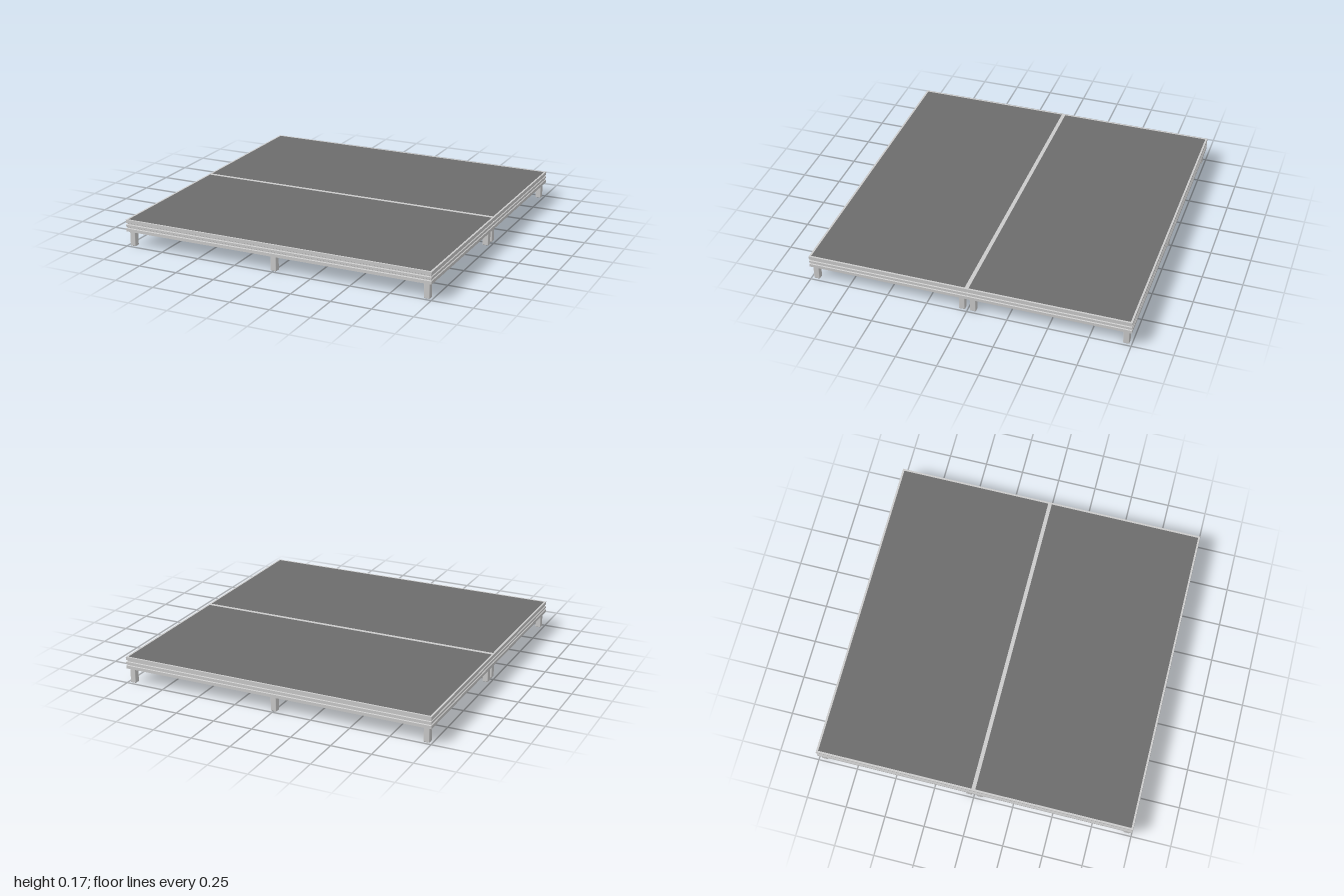
import * as THREE from 'three';
import { RoundedBoxGeometry } from 'three/addons/geometries/RoundedBoxGeometry.js';

const HALF_X = 1, HALF_Z = 0.5;

// Rail cross-section [inset, height]: up the grooved outside, over the lip, down the inside
const RAIL = [
  [0, 0.095], [0, 0.114], [0.006, 0.117], [0.006, 0.123], [0, 0.126],
  [0, 0.138], [0.006, 0.141], [0.006, 0.147], [0, 0.15], [0, 0.17],
  [0.012, 0.17], [0.012, 0.15], [0.015, 0.15], [0.015, 0.095],
];

// Sweeps the rail section around a rectangle with mitred corners
function frameGeometry() {
  const corners = [[1, 1], [1, -1], [-1, -1], [-1, 1]];
  const point = (i, k) => {
    const [inset, y] = RAIL[i % RAIL.length];
    const [sx, sz] = corners[k % 4];
    return [sx * (HALF_X - inset), y, sz * (HALF_Z - inset)];
  };
  const positions = [];
  for (let k = 0; k < 4; k++) {
    for (let i = 0; i < RAIL.length; i++) {
      const a = point(i, k), b = point(i, k + 1), c = point(i + 1, k + 1), d = point(i + 1, k);
      positions.push(...a, ...b, ...c, ...a, ...c, ...d);
    }
  }
  const geometry = new THREE.BufferGeometry();
  geometry.setAttribute('position', new THREE.Float32BufferAttribute(positions, 3));
  geometry.computeVertexNormals();
  return geometry;
}

export function createModel() {
  const model = new THREE.Group();
  model.name = 'stagePlatform';
  const metal = new THREE.MeshStandardMaterial({ color: 0xcccccc });
  const deckMaterial = new THREE.MeshStandardMaterial({ color: 0x6c6c6c });

  const frame = frameGeometry();
  const deck = new THREE.BoxGeometry(2 * HALF_X - 0.024, 0.018, 2 * HALF_Z - 0.024);
  const leg = new RoundedBoxGeometry(0.037, 0.15, 0.037, 2, 0.004);

  const add = (parent, name, geometry, material, x, y, z) => {
    const mesh = new THREE.Mesh(geometry, material);
    mesh.name = name;
    mesh.position.set(x, y, z);
    parent.add(mesh);
  };

  // Two identical platforms side by side
  for (const side of [1, -1]) {
    const platform = new THREE.Group();
    platform.name = side > 0 ? 'frontPlatform' : 'backPlatform';
    platform.position.z = side * HALF_Z;
    add(platform, 'frame', frame, metal, 0, 0, 0);
    add(platform, 'deck', deck, deckMaterial, 0, 0.16, 0);
    // Six legs, just inside the rails
    for (const x of [-0.966, 0, 0.966]) {
      for (const z of [-0.466, 0.466]) add(platform, 'leg', leg, metal, x, 0.075, z);
    }
    model.add(platform);
  }
  return model;
}
